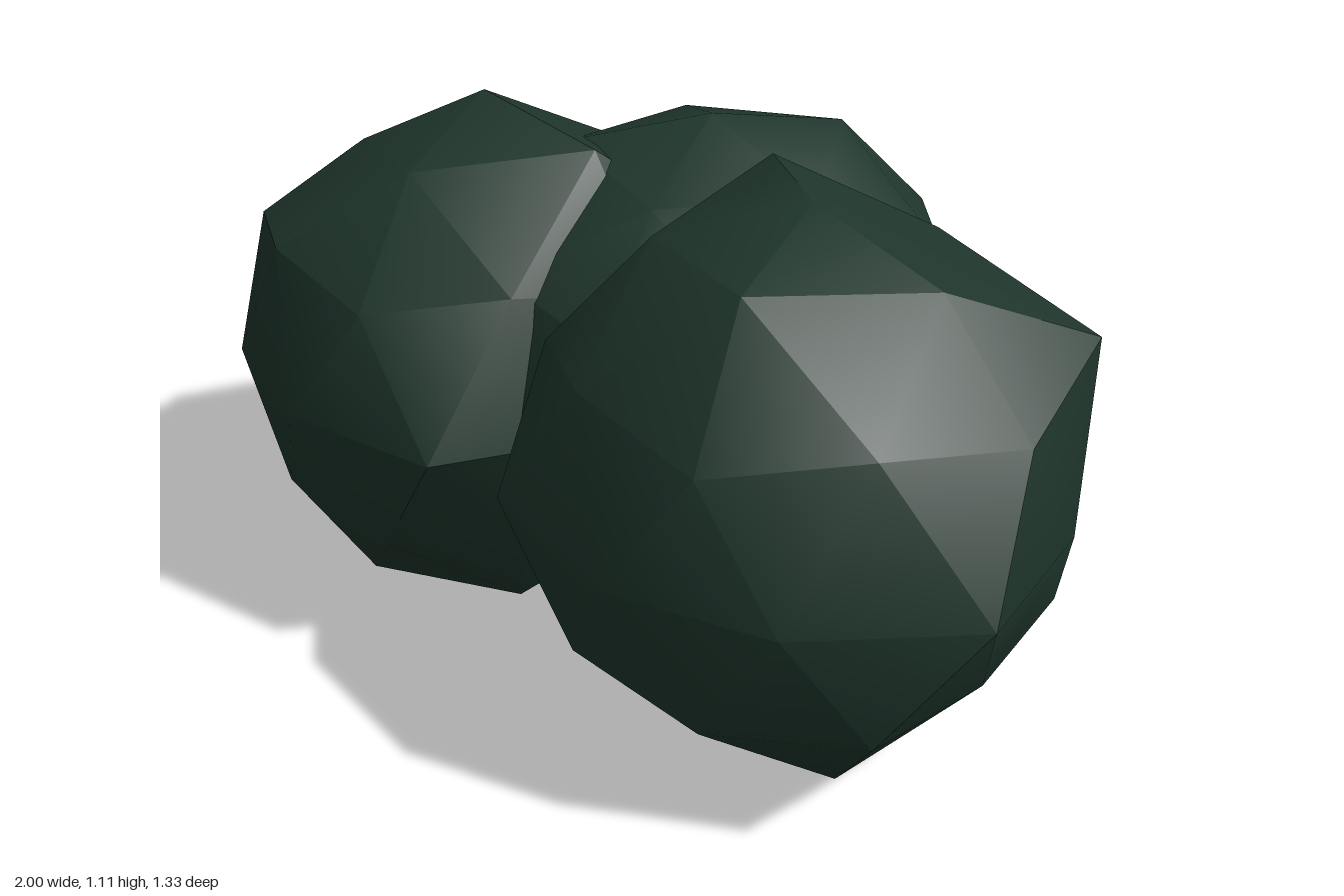
import * as THREE from 'three';
import { toCreasedNormals } from 'three/addons/utils/BufferGeometryUtils.js';

const RADIUS = 0.553;

// Low-poly ball with a vertex at each pole; each pull moves its nearest vertex
function lumpGeometry(pulls) {
  const geo = new THREE.IcosahedronGeometry(RADIUS, 1);
  geo.rotateX(-Math.atan((1 + Math.sqrt(5)) / 2));
  geo.rotateY(Math.PI / 10);
  const pos = geo.attributes.position;
  const start = [];
  for (let i = 0; i < pos.count; i++) start.push(new THREE.Vector3().fromBufferAttribute(pos, i));
  for (const pull of pulls) {
    const target = new THREE.Vector3(...pull);
    const dir = target.clone().normalize();
    const nearest = start.reduce((best, v) => (v.dot(dir) > best.dot(dir) ? v : best));
    start.forEach((v, i) => {
      if (v.distanceTo(nearest) < 0.01) pos.setXYZ(i, target.x, target.y, target.z);
    });
  }
  return toCreasedNormals(geo, Math.PI / 5.5);
}

const lumps = [
  {
    name: 'rightFoliage',
    at: [-0.46, 0.556, 0.11],
    pulls: [
      // crown
      [0.33, 0.505, 0], [-0.2, 0.4, -0.145], [-0.216, 0.432, 0.157], [0.083, 0.42, -0.25],
      // sides
      [-0.48, 0.305, 0], [-0.41, 0.253, 0.3], [0.36, 0, 0.49], [-0.54, 0, -0.18],
      [-0.53, 0, 0.17], [0.37, -0.23, 0.27], [-0.51, -0.255, 0], [-0.16, -0.265, -0.5],
      // underside
      [-0.1, -0.525, 0.31], [-0.31, -0.495, 0], [0.25, -0.5, 0.18], [-0.08, -0.43, -0.255],
    ],
  },
  {
    name: 'leftFoliage',
    at: [0.43, 0.556, 0.11],
    pulls: [
      // crown
      [-0.262, 0.524, -0.19], [0.09, 0.495, 0.29], [0.085, 0.45, -0.262],
      // sides
      [-0.16, 0.315, -0.5], [0.165, 0.26, -0.495], [0.424, 0.322, -0.308],
      [0.57, 0, 0.18], [0.5, 0, -0.16], [0.31, 0, -0.43], [-0.35, 0, 0.47],
      [0.44, -0.275, 0], [0.42, -0.26, 0.3],
      // underside
      [0.25, -0.495, 0.18], [0.25, -0.495, -0.18], [-0.29, -0.485, 0], [-0.077, -0.415, 0.255],
    ],
  },
  {
    name: 'backFoliage',
    at: [-0.02, 0.556, -0.11],
    pulls: [
      // crown
      [0.1, 0.49, -0.29], [0.27, 0.445, 0], [0.085, 0.445, 0.26], [-0.24, 0.48, 0.17],
      // sides
      [-0.36, 0, -0.49], [-0.45, 0.28, -0.33], [0.16, 0.265, -0.51],
      [0.15, -0.305, -0.47], [0.31, 0, -0.42],
    ],
  },
];

export function createModel() {
  const leaf = new THREE.MeshStandardMaterial({ color: 0x1f362c });
  leaf.name = 'dark green leaf';
  const bush = new THREE.Group();
  bush.name = 'bush';
  for (const { name, at, pulls } of lumps) {
    const mesh = new THREE.Mesh(lumpGeometry(pulls), leaf);
    mesh.name = name;
    mesh.position.set(...at);
    bush.add(mesh);
  }
  return bush;
}
